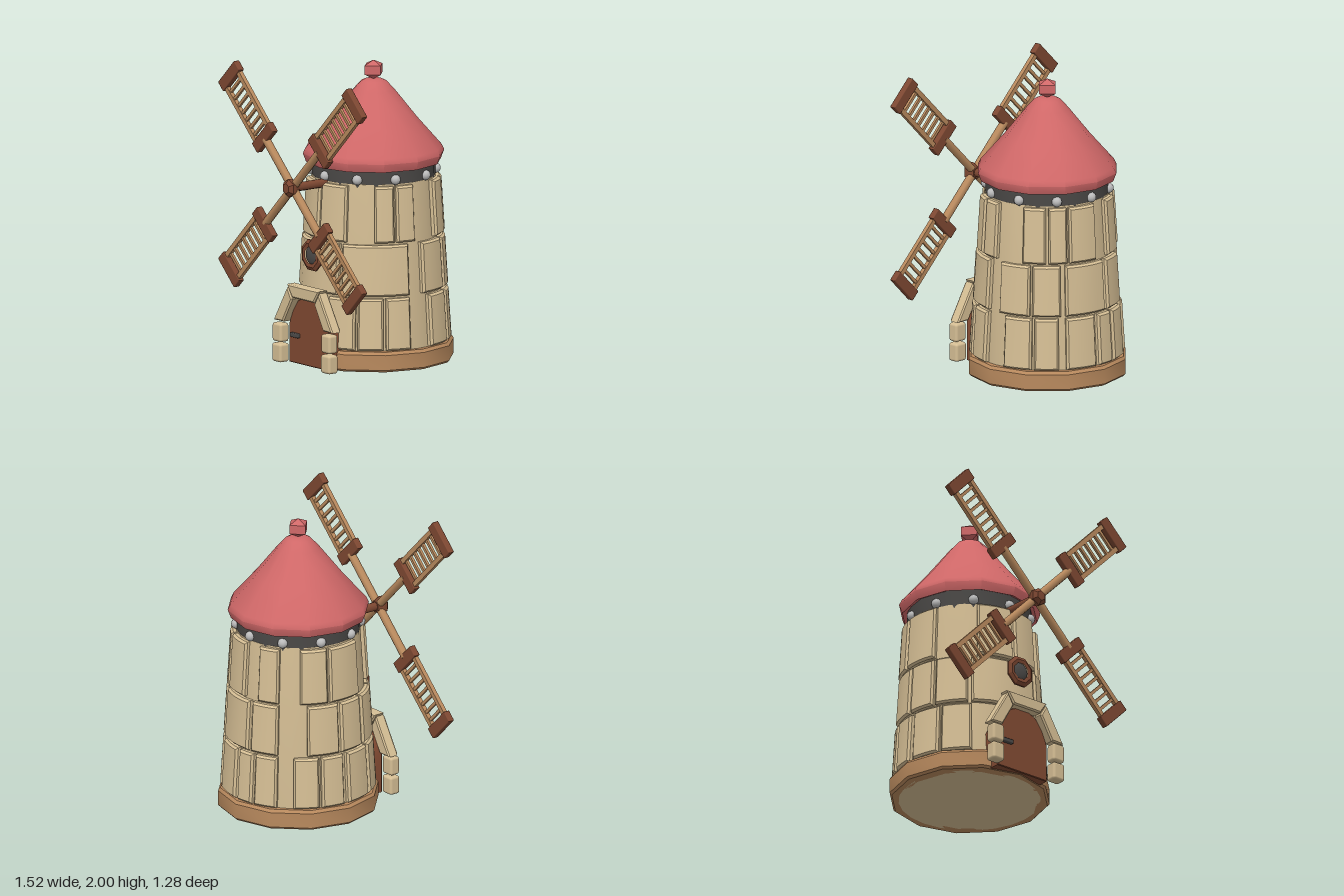
import * as THREE from 'three';
import { toCreasedNormals } from 'three/addons/utils/BufferGeometryUtils.js';
import { RoundedBoxGeometry } from 'three/addons/geometries/RoundedBoxGeometry.js';

const mat = (name, color) => Object.assign(new THREE.MeshStandardMaterial({ color }), { name });
const stone = mat('stone', 0xd6bf95);
const red = mat('roof red', 0xd06868);
const lightWood = mat('light wood', 0xb98a5e);
const darkWood = mat('dark wood', 0x7e4832);
const doorWood = mat('door wood', 0x814a32);
const iron = mat('iron', 0x4c4a48);
const steel = mat('steel', 0xbcbcbc);

function add(parent, name, geo, material, x = 0, y = 0, z = 0) {
  const mesh = new THREE.Mesh(geo, material);
  mesh.name = name;
  mesh.position.set(x, y, z);
  parent.add(mesh);
  return mesh;
}

const lathe = (pts, sides, crease = 0.6) =>
  toCreasedNormals(new THREE.LatheGeometry(pts.map(p => new THREE.Vector2(...p)), sides), crease);

// Extruded outline with a small bevel, spanning z0 to z1
function plate(points, z0, z1, bevel = 0.01) {
  const shape = new THREE.Shape(points.map(p => new THREE.Vector2(...p)));
  const geo = new THREE.ExtrudeGeometry(shape, {
    depth: z1 - z0 - 2 * bevel, bevelEnabled: true, bevelSize: bevel, bevelOffset: -bevel,
    bevelThickness: bevel, bevelSegments: 1,
  });
  return toCreasedNormals(geo.translate(0, 0, z0 + bevel), 0.5);
}

// Outer radius of the stonework at a height
const wallRadius = y => 0.515 - 0.062 * (y - 0.14);

// Bevelled slab bent around the tower between two angles (degrees from the front)
function brick(a0, a1, y0, y1) {
  const geo = new THREE.BoxGeometry(1, 1, 1, 4, 1, 2);
  const p = geo.attributes.position;
  const half = THREE.MathUtils.degToRad(a1 - a0) / 2;
  const mid = THREE.MathUtils.degToRad(a0 + a1) / 2;
  for (let i = 0; i < p.count; i++) {
    const front = p.getZ(i) > 0.25;
    const inset = front ? 0.013 : 0;
    const a = mid + p.getX(i) * 2 * (half - inset / 0.48);
    const y = (y0 + y1) / 2 + p.getY(i) * (y1 - y0 - 2 * inset);
    const r = wallRadius(y) - (front ? 0 : p.getZ(i) < -0.25 ? 0.06 : 0.015);
    p.setXYZ(i, Math.sin(a) * r, y, Math.cos(a) * r);
  }
  return toCreasedNormals(geo, 0.4);
}

function buildTower() {
  const tower = new THREE.Group();
  tower.name = 'tower';
  tower.position.z = -0.105;

  add(tower, 'wall', lathe([[0, 0], [0.47, 0], [wallRadius(0.13) - 0.035, 0.13],
    [wallRadius(1.24) - 0.035, 1.24], [0, 1.24]], 24), stone);
  add(tower, 'plinth', lathe([[0.45, 0], [0.52, 0], [0.535, 0.015], [0.535, 0.115],
    [0.52, 0.135], [0.44, 0.135]], 12), lightWood);

  const rows = [
    { y0: 0.14, y1: 0.485, spans: [[14, 37], [39, 59], [61, 81], [100, 123], [125, 144], [150, 175],
      [178, 193], [195, 214], [227, 247], [249, 268], [272, 296], [298, 322]] },
    { y0: 0.5, y1: 0.84, spans: [[-38, 22], [25, 81], [94, 121], [123, 146], [150, 187],
      [190, 214], [238, 265], [267, 290], [292, 319]] },
    { y0: 0.855, y1: 1.23, spans: [[-33, -1], [1, 28], [52, 69], [71, 88], [114, 134], [136, 152],
      [154, 180], [195, 214], [232, 256], [258, 290]] },
  ];
  const bricks = new THREE.Group();
  bricks.name = 'bricks';
  tower.add(bricks);
  for (const { y0, y1, spans } of rows)
    for (const [a0, a1] of spans) add(bricks, 'brick', brick(a0, a1, y0, y1), stone);

  // Iron band with rivets
  add(tower, 'ironBand', lathe([[0.3, 1.215], [0.41, 1.215], [0.415, 1.345], [0.3, 1.345]], 20), iron);
  for (let i = 0; i < 10; i++) {
    const a = i * Math.PI / 5;
    add(tower, 'rivet', new THREE.SphereGeometry(0.034, 12, 8), steel,
      Math.sin(a) * 0.41, 1.27, Math.cos(a) * 0.41);
  }

  // Roof with turned-in eaves, and finial
  add(tower, 'roof', lathe([[0.36, 1.37], [0.45, 1.328], [0.472, 1.385], [0.455, 1.42], [0.29, 1.61],
    [0.14, 1.8], [0.085, 1.86], [0.06, 1.872], [0, 1.875]], 12, 0.8), red);
  add(tower, 'finial', lathe([[0, 1.872], [0.075, 1.908], [0.075, 1.968], [0, 2]], 4, 0.3), red);
  return tower;
}

function buildDoorway() {
  const doorway = new THREE.Group();
  doorway.name = 'doorway';
  add(doorway, 'door', plate([[-0.21, 0.005], [0.21, 0.005], [0.21, 0.27], [0.17, 0.36], [0.12, 0.43],
    [0.05, 0.465], [-0.05, 0.465], [-0.12, 0.43], [-0.17, 0.36], [-0.21, 0.27]], 0.3, 0.44, 0.005), doorWood);
  add(doorway, 'doorHandle', new RoundedBoxGeometry(0.085, 0.03, 0.03, 1, 0.008), iron, -0.135, 0.195, 0.45);
  for (const s of [-1, 1]) {
    add(doorway, 'lowerJambStone', new RoundedBoxGeometry(0.095, 0.125, 0.08, 2, 0.018), stone, s * 0.257, 0.067, 0.475);
    add(doorway, 'upperJambStone', new RoundedBoxGeometry(0.095, 0.125, 0.075, 2, 0.018), stone, s * 0.257, 0.203, 0.475);
    const side = [[0.21, 0.28], [0.31, 0.28], [0.165, 0.525], [0.115, 0.445]].map(([x, y]) => [s * x, y]);
    add(doorway, 'archStone', plate(side, 0.415, 0.495), stone);
  }
  add(doorway, 'lintel', plate([[-0.115, 0.455], [0.115, 0.455], [0.17, 0.54], [-0.17, 0.54]], 0.415, 0.495), stone);
  return doorway;
}

function buildWindow() {
  const win = new THREE.Group();
  win.name = 'window';
  win.position.set(0, 0.75, 0.413);
  const frame = lathe([[0.06, -0.015], [0.085, -0.02], [0.11, -0.006], [0.11, 0.006], [0.085, 0.02], [0.06, 0.015]], 8, 0.3);
  frame.rotateY(Math.PI / 8).rotateX(Math.PI / 2);
  add(win, 'windowFrame', frame, darkWood);
  add(win, 'windowPane', new THREE.SphereGeometry(0.064, 16, 10).scale(1, 1, 0.3), iron);
  return win;
}

// One ladder-like sail, pointing up from the hub
function buildSail() {
  const sail = new THREE.Group();
  sail.name = 'sail';
  add(sail, 'sailArm', new THREE.CylinderGeometry(0.028, 0.028, 0.4, 8), lightWood, 0, 0.2, 0);
  for (const y of [0.415, 0.92])
    add(sail, 'crossBar', new RoundedBoxGeometry(0.24, 0.078, 0.046, 1, 0.006), darkWood, 0, y, 0);
  for (const s of [-1, 1])
    add(sail, 'sideRail', new THREE.BoxGeometry(0.032, 0.46, 0.03), lightWood, s * 0.088, 0.667, 0);
  for (let i = 0; i < 7; i++)
    add(sail, 'rung', new THREE.BoxGeometry(0.16, 0.02, 0.018), lightWood, 0, 0.49 + i * 0.059, 0);
  return sail;
}

export function createModel() {
  const model = new THREE.Group();
  model.name = 'windmill';
  model.add(buildTower(), buildDoorway(), buildWindow());

  const rotor = new THREE.Group();
  rotor.name = 'rotor';
  rotor.position.set(0, 1.225, 0.578);
  model.add(rotor);
  add(rotor, 'axle', new THREE.CylinderGeometry(0.03, 0.03, 0.32, 8).rotateX(Math.PI / 2), darkWood, 0, 0, -0.16);
  add(rotor, 'hub', lathe([[0, -0.03], [0.04, -0.03], [0.062, 0.01], [0.062, 0.035], [0.035, 0.058], [0, 0.06]], 6, 0.3)
    .rotateX(Math.PI / 2), darkWood);
  for (let i = 0; i < 4; i++) {
    const sail = buildSail();
    sail.rotation.z = Math.PI / 4 + i * Math.PI / 2;
    rotor.add(sail);
  }
  return model;
}
